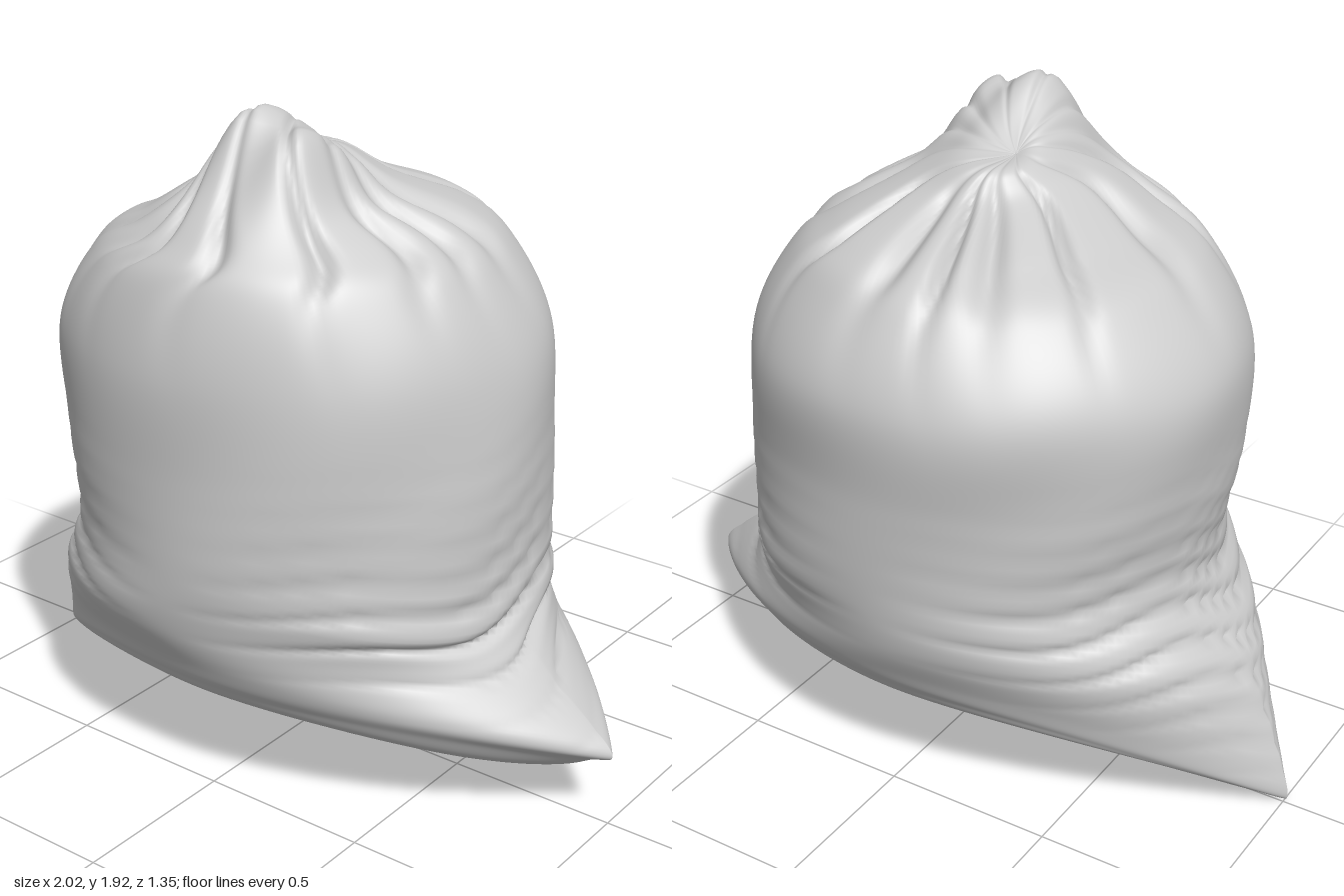
import * as THREE from 'three';

// Rings from underside to gathered top:
// left, right, front, back extents; y at front/back, y at left end, y at right end
const RINGS = [
  [0, 0, 0, 0, 0.265, 0.265, 0.265],
  [0.45, 0.45, 0.30, 0.28, 0.262, 0.24, 0.245],
  [0.85, 0.80, 0.51, 0.48, 0.31, 0.085, 0.155],
  [0.975, 0.95, 0.57, 0.54, 0.37, 0.01, 0.2],
  [1.0, 1.0, 0.60, 0.575, 0.43, 0.06, 0.25],
  [0.87, 0.77, 0.65, 0.62, 0.55, 0.4, 0.45],
  [0.71, 0.69, 0.665, 0.645, 0.72, 0.66, 0.6],
  [0.74, 0.68, 0.67, 0.655, 1.0, 0.98, 0.98],
  [0.745, 0.65, 0.67, 0.67, 1.28, 1.28, 1.28],
  [0.60, 0.54, 0.62, 0.56, 1.5, 1.5, 1.5],
  [0.42, 0.42, 0.55, 0.44, 1.6, 1.6, 1.6],
  [0.25, 0.23, 0.42, 0.21, 1.69, 1.7, 1.7],
  [0.15, 0.04, 0.14, 0.11, 1.755, 1.755, 1.755],
  [0.08, -0.08, 0.02, -0.02, 1.74, 1.74, 1.74],
];
const SIDES = 192, STEPS = 12, PLEATS = 14;

// Smooth interpolation between rings
function ringAt(t) {
  const last = RINGS.length - 1, i = Math.min(Math.floor(t), last - 1), f = t - i;
  const [a, b, c, d] = [i - 1, i, i + 1, i + 2].map(k => RINGS[Math.max(0, Math.min(last, k))]);
  return b.map((p, k) => {
    const m = (c[k] - a[k]) / 2, n = (d[k] - p) / 2, e = c[k] - p;
    return p + f * (m + f * (3 * e - 2 * m - n + f * (m + n - 2 * e)));
  });
}

const bell = (x, mid, width) => Math.exp(-(((x - mid) / width) ** 2));

// Sharp irregular valleys running out from the gather
function pleat(angle) {
  let sum = 0;
  for (let i = 0; i < PLEATS; i++) {
    const d = angle - (i + 0.35 * Math.sin(i * 5)) * Math.PI * 2 / PLEATS;
    sum += bell(Math.atan2(Math.sin(d), Math.cos(d)), 0, 0.07 + 0.02 * Math.sin(i * 3));
  }
  return sum;
}

function sackPoint(t, angle) {
  const [l, r, f, b, yMid, yLeft, yRight] = ringAt(t);
  const c = Math.cos(angle), s = Math.sin(angle);
  // wide rings narrow to a pointed lens, the others stay oval
  const power = 1 + 3.2 * Math.max(0, (l + r) / 2 - 0.72);
  let x = (r - l) / 2 + c * (r + l) / 2;
  let z = (f - b) / 2 + Math.sign(s) * Math.abs(s) ** power * (f + b) / 2;
  let y = yMid + ((c > 0 ? yRight : yLeft) - yMid) * Math.abs(c) ** 2.5;

  // gathered pleats, fading down the shoulders
  const fold = pleat(angle + 0.06 * Math.sin(t * 2)) * bell(t, 10.3, 1.2);
  y -= 0.035 * fold;
  x *= 1 - 0.03 * fold;
  z *= 1 - 0.03 * fold;

  // folded-over tuft in front of the gather
  if (t > 8) {
    const across = Math.exp(-(((x - 0.04) / 0.18) ** 4));
    const ripple = 1 + 0.1 * Math.sin(x * 34 + z * 8);
    y += 0.175 * ripple * across * bell(z, 0.27, z > 0.27 ? 0.13 : 0.2);
  }

  // squashed creases above the two bottom corners
  const crease = bell(t, 5.6, 0.9) * Math.abs(c) ** 1.5;
  const wave = 1 - Math.abs(Math.sin(y * 32 + z * 3 + Math.sin(z * 9)));
  const push = 1 - 0.045 * crease * wave * wave;

  // broad soft dents of the cloth
  const dent = 1 + 0.008 * bell(t, 7, 2.5) * Math.sin(angle * 5 + t) * Math.sin(t * 2 + angle * 2);
  return [x * push * dent, y, z * push * dent];
}

export function createModel() {
  const rows = (RINGS.length - 1) * STEPS;
  const positions = [], index = [];
  for (let j = 0; j <= rows; j++) {
    for (let i = 0; i < SIDES; i++) positions.push(...sackPoint(j / STEPS, (i / SIDES) * Math.PI * 2));
  }
  for (let j = 0; j < rows; j++) {
    for (let i = 0; i < SIDES; i++) {
      const a = j * SIDES + i, b = j * SIDES + (i + 1) % SIDES;
      index.push(a, a + SIDES, b);
      index.push(b, a + SIDES, b + SIDES);
    }
  }
  const geometry = new THREE.BufferGeometry();
  geometry.setAttribute('position', new THREE.Float32BufferAttribute(positions, 3));
  geometry.setIndex(index);
  geometry.computeVertexNormals();

  const sack = new THREE.Mesh(geometry, new THREE.MeshStandardMaterial({ color: 0xcccccc, side: THREE.DoubleSide }));
  sack.name = 'sack';
  const group = new THREE.Group();
  group.name = 'tiedSack';
  group.add(sack);
  return group;
}
